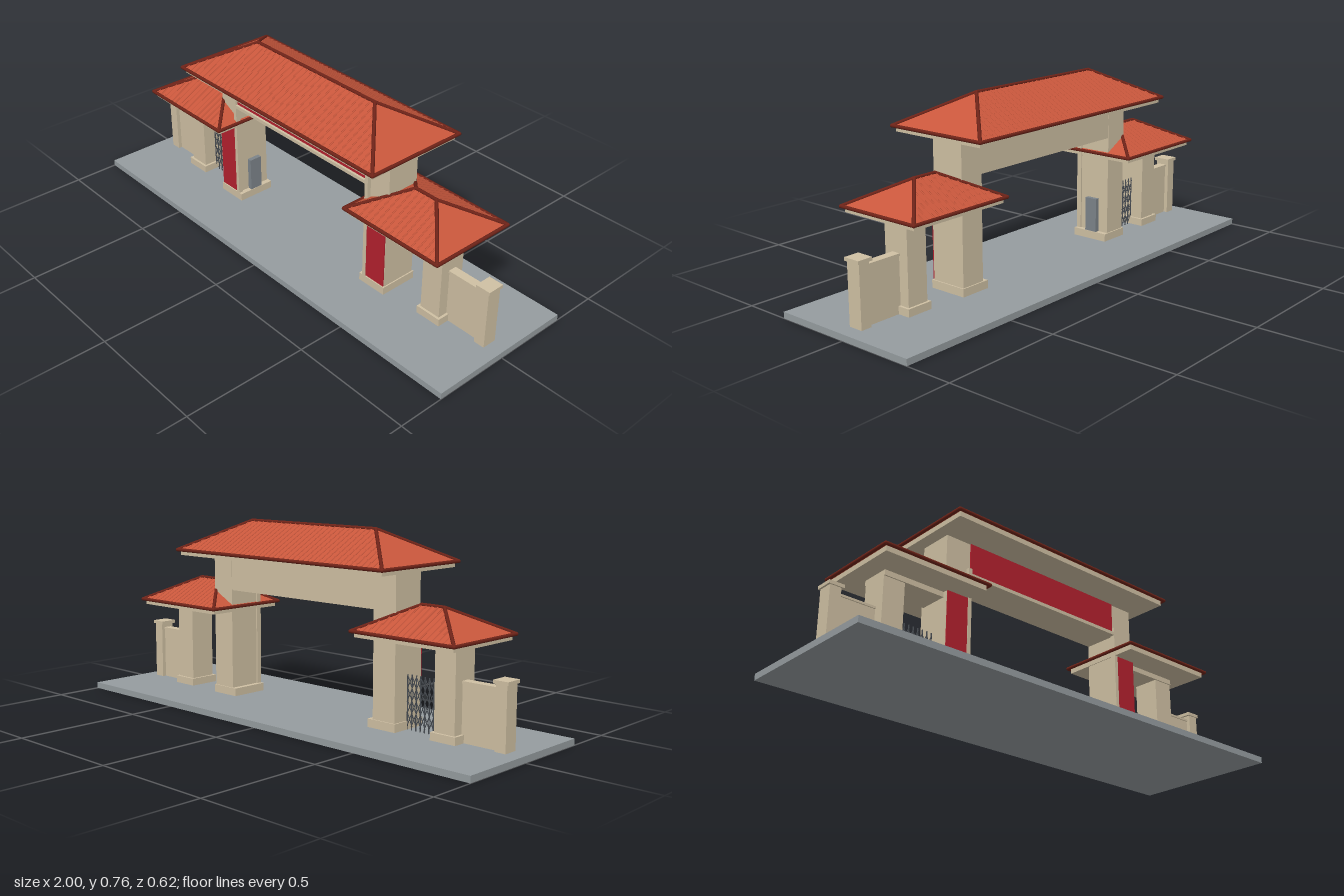
import * as THREE from 'three';
import { mergeGeometries } from 'three/addons/utils/BufferGeometryUtils.js';

const mat = (name, color) => {
  const m = new THREE.MeshStandardMaterial({ color });
  m.name = name;
  return m;
};

export function createModel() {
  const model = new THREE.Group();
  model.name = 'gateway';
  const stone = mat('cream stone', 0xcfc0a3);
  const paving = mat('grey paving', 0x959c9f);
  const red = mat('red panel', 0xb3202e);
  const tile = mat('terracotta tile', 0xc9573c);
  const ridge = mat('dark ridge tile', 0x6e2318);
  const steel = mat('dark steel', 0x4b5056);
  const grey = mat('grey cabinet', 0x7c8389);

  // Box given by its limits on each axis
  const box = (name, material, x0, x1, y0, y1, z0, z1, parent = model) => {
    const mesh = new THREE.Mesh(new THREE.BoxGeometry(Math.abs(x1 - x0), y1 - y0, z1 - z0), material);
    mesh.position.set((x0 + x1) / 2, (y0 + y1) / 2, (z0 + z1) / 2);
    mesh.name = name;
    parent.add(mesh);
  };

  // Round bar between two points
  const bar = (a, b, radius, sides = 6) => {
    const p = new THREE.Vector3(...a), d = new THREE.Vector3(...b).sub(p);
    const g = new THREE.CylinderGeometry(radius, radius, d.length(), sides);
    g.applyQuaternion(new THREE.Quaternion().setFromUnitVectors(new THREE.Vector3(0, 1, 0), d.clone().normalize()));
    const c = p.addScaledVector(d, 0.5);
    return g.translate(c.x, c.y, c.z);
  };

  // Hipped roof: L, W half sizes at the eaves, r half ridge, h height
  const hipRoof = (name, cx, y, L, W, r, h, slabY) => {
    const roof = new THREE.Group();
    roof.name = name;
    roof.position.set(cx, y, 0);
    const fl = [-L, 0, W], fr = [L, 0, W], br = [L, 0, -W], bl = [-L, 0, -W];
    const rl = [-r, h, 0], rr = [r, h, 0];
    const faces = [fl, fr, rr, fl, rr, rl, fr, br, rr, br, bl, rl, br, rl, rr, bl, fl, rl, fl, bl, br, fl, br, fr];
    const g = new THREE.BufferGeometry();
    g.setAttribute('position', new THREE.Float32BufferAttribute(faces.flat(), 3));
    g.computeVertexNormals();
    const slopes = new THREE.Mesh(g, tile);
    slopes.name = 'roofSlopes';
    roof.add(slopes);

    // Tile ribs on the long slopes, cut off at the hips
    const ribs = [];
    const n = Math.round((2 * L) / 0.026);
    for (let i = 1; i < n; i++) {
      const x = -L + (2 * L * i) / n;
      const t = Math.min(1, (L - Math.abs(x)) / (L - r));
      for (const s of [1, -1]) ribs.push(bar([x, 0, s * W], [x, h * t, s * W * (1 - t)], 0.0035));
    }
    const ribMesh = new THREE.Mesh(mergeGeometries(ribs), tile);
    ribMesh.name = 'tileRibs';
    roof.add(ribMesh);

    // Dark caps on eaves, hips and ridge
    const lines = [[fl, fr], [fr, br], [br, bl], [bl, fl], [fl, rl], [bl, rl], [fr, rr], [br, rr], [rl, rr]];
    const caps = lines.map(([a, b]) => bar(a, b, 0.007, 8));
    for (const p of [fl, fr, br, bl, rl, rr]) caps.push(new THREE.SphereGeometry(0.007, 8, 6).translate(...p));
    const capMesh = new THREE.Mesh(mergeGeometries(caps), ridge);
    capMesh.name = 'ridgeCaps';
    roof.add(capMesh);

    box('eaveSlab', stone, -L + 0.01, L - 0.01, slabY - y, -0.002, -W + 0.01, W - 0.01, roof);
    model.add(roof);
  };

  box('pavement', paving, -1, 1, 0, 0.025, -0.312, 0.312);

  // Main span
  box('mainBeam', stone, -0.39, 0.39, 0.466, 0.61, -0.068, 0.07);
  box('beamPanel', red, -0.377, 0.377, 0.48, 0.61, 0.07, 0.076);
  box('beamTrim', stone, -0.377, 0.377, 0.466, 0.48, 0.07, 0.086);
  hipRoof('mainRoof', 0, 0.632, 0.547, 0.218, 0.33, 0.119, 0.61);

  for (const s of [1, -1]) {
    // Main pillar with framed red panel
    box('mainPillar', stone, s * 0.383, s * 0.487, 0.025, 0.61, -0.07, 0.07);
    box('mainPillarBase', stone, s * 0.362, s * 0.492, 0.025, 0.057, -0.075, 0.086);
    box('panelBacking', stone, s * 0.39, s * 0.487, 0.057, 0.375, 0.07, 0.079);
    box('pillarPanel', red, s * 0.393, s * 0.486, 0.06, 0.375, 0.079, 0.084);
    box('pillarTrim', stone, s * 0.377, s * 0.393, 0.057, 0.5, 0.065, 0.086);

    // Side passage
    box('sidePillar', stone, s * 0.655, s * 0.745, 0.025, 0.36, -0.055, 0.055);
    box('sidePillarBase', stone, s * 0.645, s * 0.755, 0.025, 0.055, -0.065, 0.065);
    box('sideBeam', stone, s * 0.48, s * 0.745, 0.355, 0.376, -0.06, 0.06);
    hipRoof('sideRoof', s * 0.6, 0.398, 0.23, 0.182, 0.05, 0.095, 0.376);

    // Boundary wall and end post
    box('wall', stone, s * 0.74, s * 0.9, 0.025, 0.238, -0.014, 0.014);
    box('wallCoping', stone, s * 0.74, s * 0.9, 0.238, 0.247, -0.018, 0.018);
    box('endPost', stone, s * 0.895, s * 0.94, 0.025, 0.262, -0.03, 0.03);
    box('endPostCap', stone, s * 0.885, s * 0.947, 0.262, 0.275, -0.035, 0.035);
  }

  // Folding lattice gate in the right-hand passage
  const lattice = [];
  const bays = 8, x0 = -0.65, step = 0.16 / bays, rows = 4, rise = 0.185 / rows;
  for (let i = 0; i <= bays; i++) {
    const x = x0 + i * step;
    lattice.push(bar([x, 0.025, 0], [x, 0.232, 0], 0.0025));
    for (let j = 0; j < rows && i < bays; j++) {
      const y = 0.037 + j * rise;
      lattice.push(bar([x, y, 0.003], [x + step, y + rise, 0.003], 0.0018, 5));
      lattice.push(bar([x, y + rise, -0.003], [x + step, y, -0.003], 0.0018, 5));
    }
  }
  const gate = new THREE.Mesh(mergeGeometries(lattice), steel);
  gate.name = 'latticeGate';
  model.add(gate);

  // Control cabinet on the inner face of the pillar
  box('controlCabinet', grey, -0.385, -0.364, 0.045, 0.2, -0.025, 0.03);

  return model;
}
